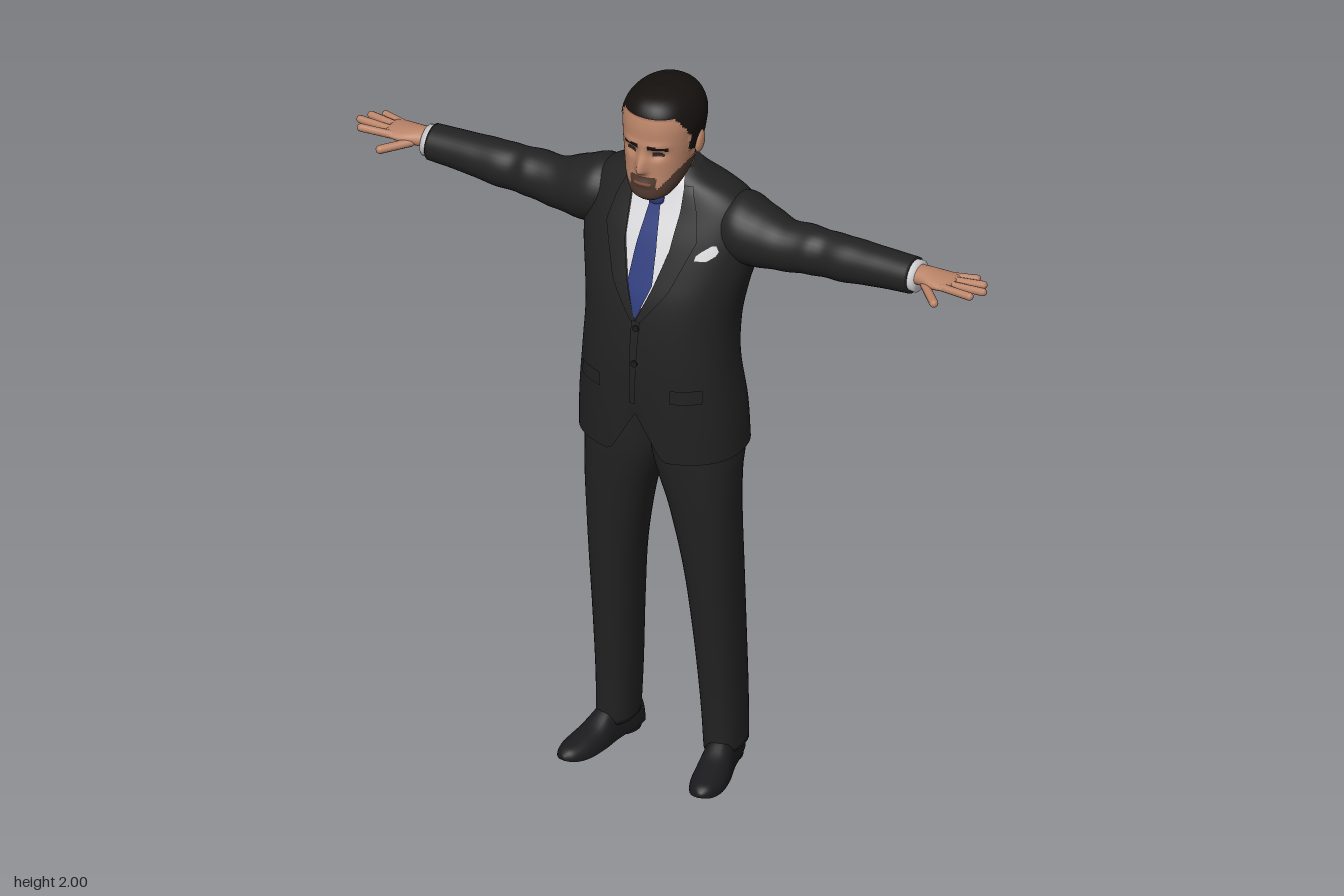
import * as THREE from 'three';

const mat = (name, color, side = THREE.FrontSide) => {
  const m = new THREE.MeshStandardMaterial({ color, side });
  m.name = name;
  return m;
};
const suit = mat('black suit', 0x222223, THREE.DoubleSide);
const skin = mat('skin', 0xba8468);
const hair = mat('dark hair', 0x15110f);
const beard = mat('beard stubble', 0x523b30);
const lips = mat('lips', 0x8c5648);
const eyes = mat('eyes', 0x2c211d);
const shirt = mat('white shirt', 0xdadadd, THREE.DoubleSide);
const tie = mat('blue tie', 0x2d3b7c, THREE.DoubleSide);
const leather = mat('black leather', 0x1b1b1d);

// Smooth interpolation between the rows of a key table
function at(keys, u) {
  const last = keys.length - 1;
  const i = Math.min(Math.floor(u), last - 1), t = u - i;
  const k = (j) => keys[Math.min(Math.max(j, 0), last)];
  return keys[0].map((_, c) => {
    const [a, b, d, e] = [k(i - 1)[c], k(i)[c], k(i + 1)[c], k(i + 2)[c]];
    return b + 0.5 * t * (d - a + t * (2 * a - 5 * b + 4 * d - e + t * (3 * (b - d) + e - a)));
  });
}

// Signed power for superellipse sections
const sp = (v, p) => Math.sign(v) * Math.abs(v) ** (2 / p);

// Skin over cross-sections; paint(point) may choose a material per face
function loft(keys, rows, segs, point, { caps = [true, true], paint = null } = {}) {
  const pts = [], buckets = [[]];
  for (let i = 0; i <= rows; i++) {
    const row = at(keys, (i / rows) * (keys.length - 1));
    for (let j = 0; j < segs; j++) {
      const a = (j / segs) * Math.PI * 2;
      pts.push(new THREE.Vector3(...point(row, Math.cos(a), Math.sin(a))));
    }
  }
  const id = (i, j) => i * segs + (j % segs);
  const add = (m, ...tri) => (buckets[m] ??= []).push(...tri);
  for (let i = 0; i < rows; i++) {
    for (let j = 0; j < segs; j++) {
      const [a, b, c, d] = [id(i, j), id(i + 1, j), id(i + 1, j + 1), id(i, j + 1)];
      const mid = pts[a].clone().add(pts[b]).add(pts[c]).add(pts[d]).multiplyScalar(0.25);
      add(paint ? paint(mid) : 0, a, b, d, b, c, d);
    }
  }
  [0, rows].forEach((r, e) => {
    if (!caps[e]) return;
    const c = new THREE.Vector3();
    for (let j = 0; j < segs; j++) c.addScaledVector(pts[id(r, j)], 1 / segs);
    const n = pts.push(c) - 1, m = paint ? paint(c) : 0;
    for (let j = 0; j < segs; j++) e ? add(m, n, id(r, j + 1), id(r, j)) : add(m, n, id(r, j), id(r, j + 1));
  });
  const g = new THREE.BufferGeometry().setFromPoints(pts);
  g.setIndex(buckets.flat());
  let start = 0;
  if (paint) buckets.forEach((b, m) => { g.addGroup(start, b.length, m); start += b.length; });
  g.computeVertexNormals();
  return g;
}

function mirror(geo) {
  const g = geo.clone().scale(-1, 1, 1), ix = g.index;
  for (let i = 0; i < ix.count; i += 3) {
    const a = ix.getX(i);
    ix.setX(i, ix.getX(i + 1));
    ix.setX(i + 1, a);
  }
  return g;
}

// Jacket body rows: y, half width, front z, back z
const BODY = [
  [0.965, 0.225, 0.16, -0.162], [1.08, 0.22, 0.166, -0.157], [1.22, 0.206, 0.168, -0.137],
  [1.33, 0.203, 0.16, -0.152], [1.42, 0.215, 0.143, -0.17], [1.5, 0.232, 0.115, -0.182],
  [1.58, 0.24, 0.083, -0.184], [1.65, 0.228, 0.05, -0.168], [1.695, 0.18, 0.032, -0.142],
  [1.73, 0.105, 0.02, -0.118], [1.75, 0.075, 0.0, -0.105]];
const P = 2.3;

function bodyZ(x, y) {
  let lo = 0, hi = BODY.length - 1;
  for (let i = 0; i < 24; i++) {
    const m = (lo + hi) / 2;
    if (at(BODY, m)[0] < y) lo = m; else hi = m;
  }
  const [, w, f, b] = at(BODY, lo);
  return (f + b) / 2 + ((f - b) / 2) * Math.max(0, 1 - Math.abs(x / w) ** P) ** (1 / P);
}

// Thin cloth lying on the chest; rows of y, x0, x1 from top to bottom
function patch(rows, off, n = 24, m = 10) {
  const pts = [], index = [];
  for (let i = 0; i <= n; i++) {
    const u = (i / n) * (rows.length - 1), k = Math.min(Math.floor(u), rows.length - 2);
    const [y, x0, x1] = rows[k].map((v, c) => v + (rows[k + 1][c] - v) * (u - k));
    for (let j = 0; j <= m; j++) {
      const x = x0 + ((x1 - x0) * j) / m;
      pts.push(new THREE.Vector3(x, y, bodyZ(x, y) + off));
      if (i < n && j < m) {
        const a = i * (m + 1) + j, b = a + m + 1;
        index.push(a, b, a + 1, b, b + 1, a + 1);
      }
    }
  }
  const g = new THREE.BufferGeometry().setFromPoints(pts);
  g.setIndex(index);
  g.computeVertexNormals();
  return g;
}

// Rounded finger between two points
function finger(a, b, r) {
  const p = new THREE.Vector3(...a), d = new THREE.Vector3(...b).sub(p);
  const g = new THREE.CapsuleGeometry(r, d.length() - r, 6, 10);
  const q = new THREE.Quaternion().setFromUnitVectors(new THREE.Vector3(0, 1, 0), d.clone().normalize());
  return g.applyQuaternion(q).translate(...p.addScaledVector(d, 0.5).toArray());
}

const bump = (v, c, s) => Math.exp(-(((v - c) / s) ** 2));

// Hairline height by depth along the head
function isHair(z, y) {
  const line = z > 0.08 ? 1.948 : z > 0.04 ? 1.885 + (z - 0.04) * 1.57 : z > 0.015 ? 1.84 : 1.815;
  return y > line;
}

function headPoint([y, w, f, b], c, s) {
  let x = w * sp(c, 2.2), z = (f + b) / 2 + ((f - b) / 2) * sp(s, 2.2);
  if (isHair(z, y)) { x *= 1.035; z += s * 0.003; }
  if (s > 0) {
    const ax = Math.abs(x);
    z += 0.026 * bump(x, 0, 0.014) * bump(y, 1.803, y > 1.803 ? 0.04 : 0.013);
    z -= 0.011 * bump(ax, 0.037, 0.02) * bump(y, 1.847, 0.014);
    z += 0.005 * bump(ax, 0.035, 0.03) * bump(y, 1.872, 0.01);
    z += 0.005 * bump(x, 0, 0.025) * bump(y, 1.762, 0.01);
  }
  return [x, y, z];
}

function headPaint({ x, y, z }) {
  const ax = Math.abs(x);
  if (isHair(z, y)) return 1;
  if (z > 0.06) {
    if (Math.abs(ax - 0.04) < 0.024 && Math.abs(y - 1.868 + ax * 0.05) < 0.006) return 1;
    if (Math.abs(ax - 0.037) < 0.014 && Math.abs(y - 1.847) < 0.005) return 4;
    if (ax < 0.024 && Math.abs(y - 1.761) < 0.0055) return 3;
    if (ax < 0.036 && y < 1.781) return 2;
  }
  return z > -0.005 && y < 1.742 + Math.max(0, ax - 0.035) * 1.3 ? 2 : 0;
}

export function createModel() {
  const model = new THREE.Group();
  const add = (name, geo, material) => {
    const mesh = new THREE.Mesh(geo, material);
    mesh.name = name;
    model.add(mesh);
  };
  const pair = (name, geo, material) => {
    add('left ' + name, geo, material);
    add('right ' + name, mirror(geo), material);
  };

  // Head, ears and neck
  add('head', loft([
    [1.705, 0.03, 0.108, 0.045], [1.72, 0.053, 0.121, 0.015], [1.75, 0.072, 0.124, -0.03],
    [1.79, 0.084, 0.122, -0.075], [1.83, 0.091, 0.121, -0.098], [1.87, 0.097, 0.12, -0.113],
    [1.92, 0.099, 0.117, -0.118], [1.96, 0.085, 0.105, -0.105], [1.985, 0.058, 0.078, -0.078],
    [1.999, 0.018, 0.025, -0.03]], 90, 112, headPoint, { paint: headPaint }), [skin, hair, beard, lips, eyes]);
  pair('ear', new THREE.SphereGeometry(1, 16, 12).scale(0.011, 0.032, 0.02).rotateX(-0.2).translate(0.098, 1.848, -0.005), skin);
  add('neck', loft([[1.66, 0.062, -0.03], [1.74, 0.06, -0.032], [1.84, 0.062, -0.04]], 8, 28,
    ([y, r, cz], c, s) => [r * c, y, cz + r * s]), skin);

  // Shirt collar, sloping down toward the front
  add('shirt collar', loft([[1.665, 0.083], [1.7, 0.075], [1.722, 0.066]], 6, 32,
    ([y, r], c, s) => [r * c, y - 0.4 * r * s, -0.035 + r * s], { caps: [false, false] }), shirt);

  // Jacket body with a cutaway at the front hem
  add('jacket body', loft(BODY, 60, 96, ([y, w, f, b], c, s) => {
    const x = w * sp(c, P), lift = Math.max(0, 1 - (y - 0.965) / 0.3);
    const cut = s > 0 ? 0.13 * lift * Math.max(0, 1 - Math.abs(x) / 0.075) : 0;
    return [x, y + cut, (f + b) / 2 + ((f - b) / 2) * sp(s, P)];
  }, { caps: [false, true] }), suit);

  // Shirt front, tie, lapels and small jacket details
  add('shirt front', patch([[1.74, -0.06, 0.06], [1.7, -0.073, 0.073], [1.57, -0.065, 0.065],
    [1.46, -0.035, 0.035], [1.38, -0.002, 0.002]], 0.004), shirt);
  add('tie', patch([[1.695, -0.022, 0.022], [1.66, -0.016, 0.016], [1.56, -0.029, 0.029],
    [1.47, -0.035, 0.035], [1.38, -0.003, 0.003]], 0.01), tie);
  add('tie knot', new THREE.SphereGeometry(1, 14, 10).scale(0.023, 0.022, 0.013).translate(0, 1.678, 0.046), tie);
  pair('lapel', patch([[1.72, 0.07, 0.09], [1.66, 0.072, 0.115], [1.59, 0.066, 0.13],
    [1.56, 0.064, 0.118], [1.46, 0.035, 0.08], [1.37, 0, 0.015]], 0.008), suit);
  pair('pocket flap', patch([[1.19, 0.1, 0.172], [1.15, 0.1, 0.172]], 0.006, 4), suit);
  add('front overlap', patch([[1.38, -0.012, 0.012], [1.13, -0.012, 0.004]], 0.004, 10, 4), suit);
  add('pocket square', patch([[1.588, 0.168, 0.178], [1.572, 0.145, 0.186], [1.56, 0.132, 0.18],
    [1.546, 0.13, 0.16]], 0.009, 9, 6), shirt);
  for (const y of [1.35, 1.25]) {
    add('jacket button', new THREE.CylinderGeometry(0.009, 0.009, 0.005, 14).rotateX(Math.PI / 2)
      .translate(0.003, y, bodyZ(0, y) + 0.006), leather);
  }

  // Sleeves, cuffs and hands: rows of x, centre y, radius y, centre z, radius z
  const across = ([x, cy, ry, cz, rz], c, s) => [x, cy + ry * s, cz + rz * c];
  pair('sleeve', loft([[0.13, 1.6, 0.07, -0.055, 0.07], [0.2, 1.598, 0.094, -0.052, 0.092],
    [0.26, 1.588, 0.085, -0.05, 0.083], [0.33, 1.578, 0.069, -0.05, 0.066], [0.4, 1.584, 0.066, -0.05, 0.062],
    [0.44, 1.583, 0.062, -0.052, 0.056], [0.49, 1.585, 0.062, -0.05, 0.058], [0.6, 1.59, 0.053, -0.05, 0.053],
    [0.692, 1.592, 0.048, -0.05, 0.05]], 64, 32, (r, c, s) => {
    const fold = 1 + 0.018 * Math.sin(r[0] * 75 + c * 2) * bump(r[0], 0.4, 0.16);
    return across([r[0], r[1], r[2] * fold, r[3], r[4] * fold], c, s);
  }), suit);
  pair('shirt cuff', loft([[0.67, 1.594, 0.04, -0.049, 0.042], [0.708, 1.594, 0.042, -0.049, 0.044]], 2, 28, across), shirt);
  pair('palm', loft([[0.68, 1.6, 0.024, -0.047, 0.03], [0.72, 1.602, 0.024, -0.047, 0.034],
    [0.76, 1.603, 0.019, -0.044, 0.043], [0.8, 1.605, 0.013, -0.043, 0.043],
    [0.812, 1.606, 0.007, -0.043, 0.037]], 20, 24, across), skin);
  [[-0.075, 0.855, -0.092], [-0.054, 0.885, -0.07], [-0.032, 0.9, -0.038], [-0.012, 0.88, -0.002]].forEach(([z, tx, tz], i) =>
    pair('finger ' + (i + 1), finger([0.785, 1.605, z], [tx, 1.607, tz], i ? 0.0105 : 0.009), skin));
  pair('thumb', finger([0.735, 1.595, -0.02], [0.8, 1.588, 0.046], 0.0115), skin);

  // Trouser legs: y, inner x, outer x, front z, back z
  pair('trouser leg', loft([[0.055, 0.106, 0.203, 0.03, -0.115], [0.2, 0.098, 0.203, 0.036, -0.115],
    [0.4, 0.086, 0.204, 0.056, -0.106], [0.6, 0.068, 0.206, 0.08, -0.096], [0.78, 0.034, 0.208, 0.1, -0.09],
    [0.88, 0.002, 0.209, 0.11, -0.1], [0.96, -0.02, 0.208, 0.115, -0.125], [1.1, -0.02, 0.19, 0.115, -0.115]], 48, 36,
  ([y, i, o, f, b], c, s) => [(i + o) / 2 + ((o - i) / 2) * sp(c, 2.4), y, (f + b) / 2 + ((f - b) / 2) * sp(s, 2.4)]), suit);

  // Shoes, turned slightly outward: z, half width, top, bottom
  const place = (g) => g.rotateY(0.2).translate(0.157, 0, -0.02);
  pair('shoe', place(loft([[-0.095, 0.015, 0.06, 0.012], [-0.085, 0.034, 0.085, 0.012], [-0.04, 0.04, 0.1, 0.012],
    [0.03, 0.041, 0.098, 0.012], [0.09, 0.047, 0.066, 0.012], [0.15, 0.045, 0.052, 0.012],
    [0.19, 0.03, 0.043, 0.014], [0.208, 0.008, 0.028, 0.018]], 36, 32,
  ([z, w, t, b], c, s) => [-w * sp(c, 2.4), s > 0 ? b + (t - b) * sp(s, 2.2) : b, z])), leather);
  pair('shoe heel', place(new THREE.CylinderGeometry(0.038, 0.038, 0.016, 24).scale(1, 1, 1.25).translate(0, 0.008, -0.045)), leather);

  return model;
}
